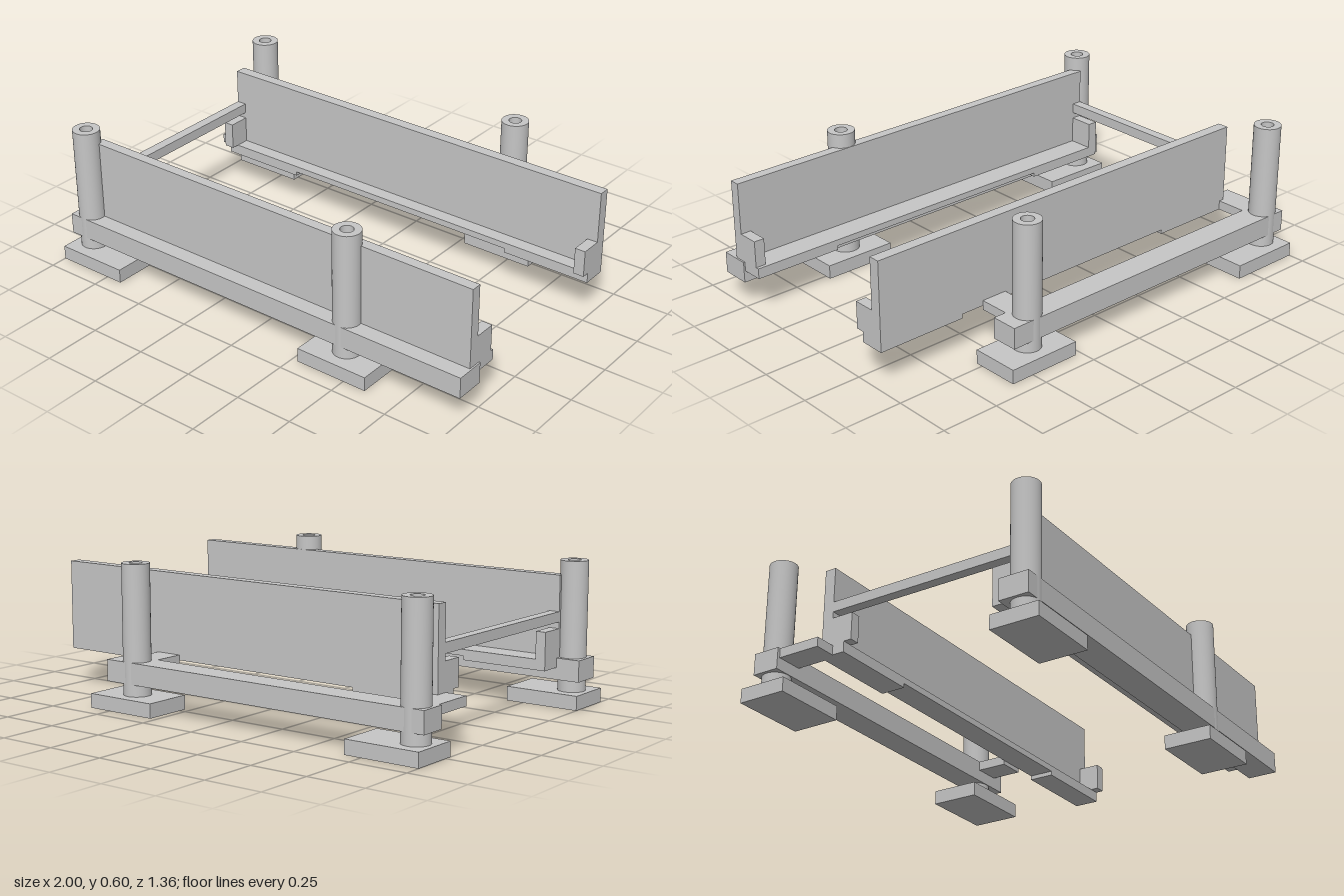
import * as THREE from 'three';

export function createModel() {
  const model = new THREE.Group();
  const grey = new THREE.MeshStandardMaterial({ color: 0xc6c6c6 });
  grey.name = 'light grey';

  // Box given by its min and max along each axis
  function box(name, x0, x1, y0, y1, z0, z1) {
    const mesh = new THREE.Mesh(new THREE.BoxGeometry(x1 - x0, y1 - y0, z1 - z0), grey);
    mesh.position.set((x0 + x1) / 2, (y0 + y1) / 2, (z0 + z1) / 2);
    mesh.name = name;
    model.add(mesh);
  }

  // Hollow post: separate lathe bands keep the rims sharp
  function post(name, x, z) {
    const group = new THREE.Group();
    const outer = 0.0575, inner = 0.027, low = 0.06, high = 0.6;
    const bands = [
      ['outerWall', [outer, low], [outer, high]],
      ['topRim', [outer, high], [inner, high]],
      ['bore', [inner, high], [inner, low]],
    ];
    for (const [part, a, b] of bands) {
      const profile = [new THREE.Vector2(...a), new THREE.Vector2(...b)];
      const mesh = new THREE.Mesh(new THREE.LatheGeometry(profile, 40), grey);
      mesh.name = part;
      group.add(mesh);
    }
    group.name = name;
    group.position.set(x, 0, z);
    model.add(group);
  }

  // Upright or ledge whose underside is recessed along the middle
  function rail(name, y1, z0, z1) {
    const [x0, x1, y0, recess] = [-0.887, 0.993, 0.16, 0.018];
    const shape = new THREE.Shape();
    shape.moveTo(x0, y0);
    shape.lineTo(-0.5, y0);
    shape.lineTo(-0.5, y0 + recess);
    shape.lineTo(0.6, y0 + recess);
    shape.lineTo(0.6, y0);
    shape.lineTo(x1, y0);
    shape.lineTo(x1, y1);
    shape.lineTo(x0, y1);
    const geometry = new THREE.ExtrudeGeometry(shape, { depth: z1 - z0, bevelEnabled: false });
    const mesh = new THREE.Mesh(geometry, grey);
    mesh.position.z = z0;
    mesh.name = name;
    model.add(mesh);
  }

  // Posts on flat feet
  for (const [side, z, z0, z1] of [['front', 0.572, 0.47, 0.677], ['back', -0.575, -0.678, -0.47]]) {
    post(side + 'RightPost', -0.92, z);
    post(side + 'LeftPost', 0.438, z);
    box(side + 'RightFoot', -1, -0.675, 0, 0.06, z0, z1);
    box(side + 'LeftFoot', 0.277, 0.602, 0, 0.06, z0, z1);
  }

  // Long beams joining the posts
  box('frontBeam', -0.99, 1, 0.11, 0.2, 0.5, 0.628);
  box('backBeam', -0.99, 0.553, 0.11, 0.2, -0.63, -0.515);

  // Arms from the back beam to the back panel
  box('backRightArm', -0.977, -0.863, 0.16, 0.2, -0.575, -0.33);
  box('backLeftArm', 0.38, 0.495, 0.16, 0.2, -0.575, -0.385);

  // Front panel with its inner ledge and end stops
  rail('frontPanel', 0.54, 0.513, 0.558);
  rail('frontLedge', 0.205, 0.405, 0.513);
  box('frontRightStop', -0.887, -0.843, 0.205, 0.32, 0.405, 0.513);
  box('frontLeftStop', 0.947, 0.993, 0.205, 0.32, 0.42, 0.513);

  // Back panel with its inner ledge and end stops
  rail('backPanel', 0.54, -0.385, -0.337);
  rail('backLedge', 0.205, -0.337, -0.277);
  box('backRightStop', -0.887, -0.843, 0.205, 0.32, -0.337, -0.243);
  box('backLeftStop', 0.947, 0.993, 0.205, 0.32, -0.337, -0.243);

  // Bar tying the two panels together
  box('crossBar', -0.887, -0.843, 0.347, 0.39, -0.337, 0.513);

  return model;
}
